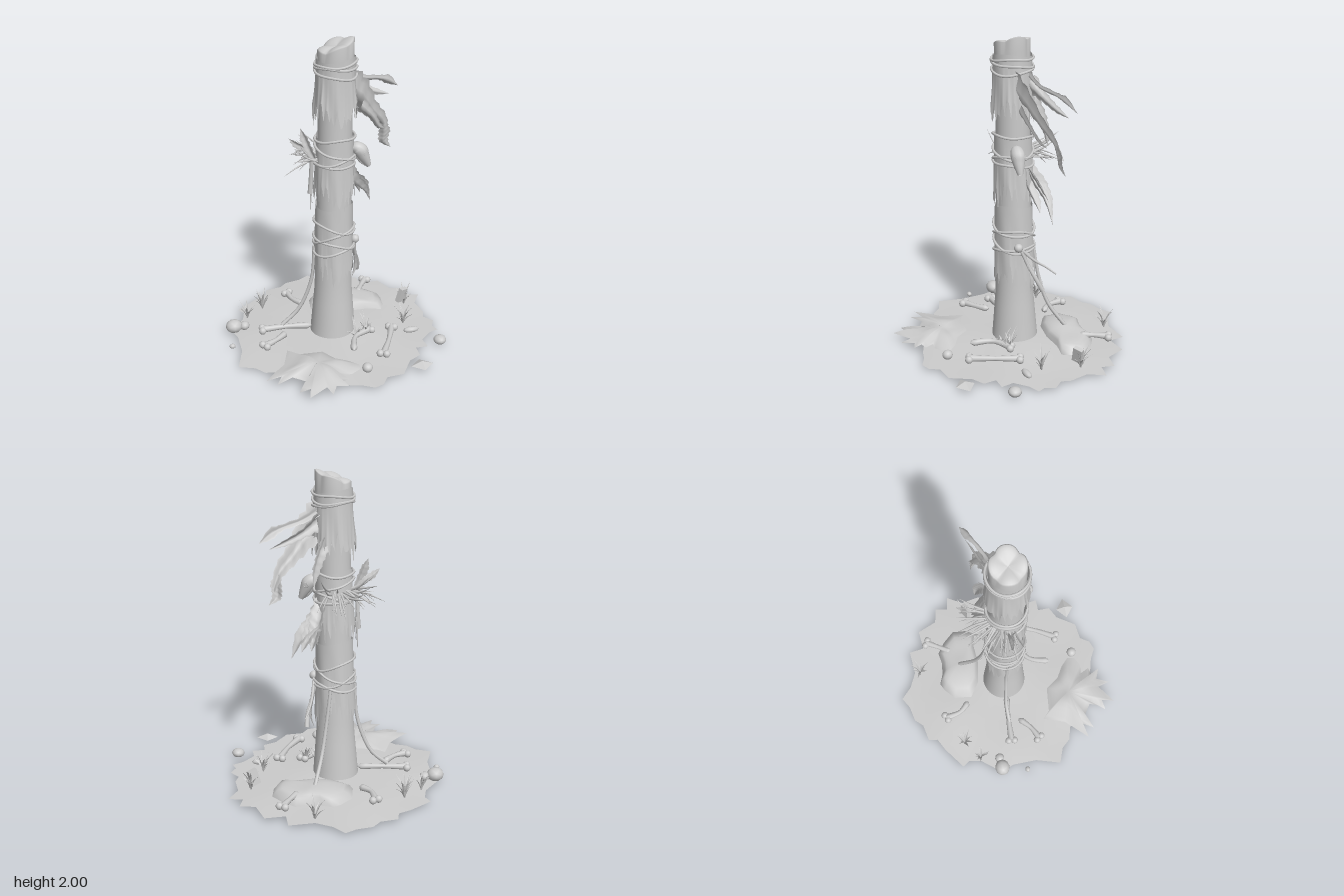
import * as THREE from 'three';
import { mergeVertices } from 'three/addons/utils/BufferGeometryUtils.js';

export function createModel() {
  const root = new THREE.Group();
  const grey = new THREE.MeshStandardMaterial({ color: 0xcccccc, side: THREE.DoubleSide });
  grey.name = 'weathered grey';
  const V = (x, y, z) => new THREE.Vector3(x, y, z);
  let seed = 7;
  const rnd = () => (seed = (seed * 16807) % 2147483647) / 2147483647;
  const lerp = THREE.MathUtils.lerp, TAU = Math.PI * 2;

  function add(name, geo) {
    const m = new THREE.Mesh(geo, grey);
    m.name = name;
    root.add(m);
    return m;
  }
  // surface from a rule f(i, j) giving a point
  function grid(name, nu, nv, f) {
    const pos = [], idx = [];
    for (let j = 0; j <= nv; j++) for (let i = 0; i <= nu; i++) pos.push(...f(i, j).toArray());
    for (let j = 0; j < nv; j++) for (let i = 0; i < nu; i++) {
      const a = j * (nu + 1) + i, b = a + 1, c = a + nu + 1, d = c + 1;
      idx.push(a, c, b, b, c, d);
    }
    let g = new THREE.BufferGeometry();
    g.setAttribute('position', new THREE.Float32BufferAttribute(pos, 3));
    g.setIndex(idx);
    g = mergeVertices(g, 1e-5);
    g.computeVertexNormals();
    return add(name, g);
  }
  // round limb along a curve, radius given by a rule
  function limb(name, pts, rad, sides = 7, n = 12) {
    const c = new THREE.CatmullRomCurve3(pts.map(p => V(...p)));
    const fr = c.computeFrenetFrames(n, false);
    return grid(name, sides, n, (i, j) => {
      const a = (i % sides) / sides * TAU, r = rad(j / n);
      return c.getPoint(j / n).addScaledVector(fr.normals[j], r * Math.cos(a)).addScaledVector(fr.binormals[j], r * Math.sin(a));
    });
  }
  // ragged strip: centre points, widths and a width direction
  function ribbon(name, pts, widths, dir) {
    const c = new THREE.CatmullRomCurve3(pts.map(p => V(...p))), n = 20, d = V(...dir).normalize();
    const nrm = V(...pts[pts.length - 1]).sub(V(...pts[0])).cross(d).normalize();
    return grid(name, 6, n, (i, j) => {
      const t = j / n, k = t * (widths.length - 1), q = Math.min(Math.floor(k), widths.length - 2);
      const w = lerp(widths[q], widths[q + 1], k - q) * (1 + (j % 3 - 1) * 0.12), s = i / 6 - 0.5;
      return c.getPoint(t).addScaledVector(d, w * s).addScaledVector(nrm, 0.15 * w * Math.cos(s * 7));
    });
  }
  // sheet spreading from a centre circle to an outline of x, z pairs
  function patch(name, o, cx, cz, hole, rings, height) {
    const n = o.length / 2;
    return grid(name, n, rings, (i, j) => {
      const k = (i % n) * 2, v = j / rings, dx = o[k] - cx, dz = o[k + 1] - cz, L = Math.hypot(dx, dz);
      const x = cx + lerp(hole * dx / L, dx, v), z = cz + lerp(hole * dz / L, dz, v);
      return V(x, height(v, x, z), z);
    });
  }

  // Ground, hide and flat rock
  const soil = (x, z) => 0.012 + 0.035 * Math.max(0, 1 - Math.hypot(x, z) / 0.7) + 0.005 * Math.sin(x * 9) * Math.cos(z * 8);
  patch('ground', [0, -.73, .07, -.66, .17, -.61, .33, -.62, .34, -.52, .47, -.53, .52, -.4, .62, -.38, .6, -.3, .69, -.28,
    .63, -.18, .65, -.06, .63, 0, .68, .06, .65, .12, .67, .17, .6, .2, .53, .27, .54, .35, .46, .35, .46, .43, .38, .47,
    .3, .59, .19, .6, .15, .66, .09, .68, .02, .64, -.05, .62, -.18, .56, -.32, .5, -.44, .38, -.52, .36, -.57, .3, -.67, .26,
    -.62, .1, -.62, -.06, -.65, -.15, -.55, -.27, -.53, -.35, -.56, -.4, -.42, -.5, -.34, -.54, -.33, -.6, -.22, -.62,
    -.17, -.67, -.07, -.69], 0, 0, 0.13, 8, (v, x, z) => soil(x, z));
  patch('groundHide', [-.35, .21, -.3, .26, -.14, .28, -.08, .37, 0, .42, .05, .47, .04, .52, -.02, .55, -.08, .54, -.05, .6,
    -.1, .61, -.07, .67, -.14, .64, -.18, .72, -.2, .64, -.32, .72, -.3, .64, -.37, .65, -.33, .6, -.31, .55, -.38, .5, -.48, .54,
    -.44, .47, -.54, .49, -.46, .41, -.4, .35], -.2, .42, 0, 7,
  (v, x, z) => 0.045 + 0.04 * (1 - v * v) + 0.012 * Math.sin(x * 28) * Math.cos(z * 24) * (1 - v * 0.6));
  patch('flatRock', [-.08, -.37, 0, -.43, .05, -.45, .12, -.42, .2, -.41, .28, -.42, .35, -.37, .42, -.29, .41, -.2, .38, -.14,
    .28, -.16, .15, -.15, 0, -.18, -.1, -.25], .16, -.28, 0, 8,
  (v, x) => 0.02 + 0.07 * Math.sqrt(1 - v ** 4) + 0.012 * Math.sin(x * 16) * (1 - v));

  // Trunk with a lobed, broken top
  const prof = [[0.02, .147], [.1, .14], [.35, .12], [.6, .112], [1, .106], [1.5, .104], [2, .108]];
  const trunkR = y => {
    let k = 0;
    while (k < prof.length - 2 && y > prof[k + 1][0]) k++;
    return lerp(prof[k][1], prof[k + 1][1], (y - prof[k][0]) / (prof[k + 1][0] - prof[k][0]));
  };
  const onTrunk = (a, y, off = 0) => {
    const r = trunkR(y) + off;
    return V(0.007 * y + r * Math.cos(a), y, 0.012 * y + r * Math.sin(a));
  };
  grid('trunk', 40, 30, (i, j) => {
    const a = (i % 40) / 40 * TAU, notch = Math.abs(Math.cos(2 * (a - 0.1)));
    const top = 1.945 + 0.035 * Math.cos(a) + 0.02 * notch;
    const p = onTrunk(a, lerp(0.02, top, Math.min(j / 24, 1)));
    const lobe = THREE.MathUtils.smoothstep(p.y, 1.82, 1.95) * 0.016 * (1 - notch) ** 2;
    const inn = j > 24 ? 1 - ((j - 24) / 6) ** 1.5 : 1;
    const s = inn * (1 - lobe / 0.1);
    const cx = 0.007 * p.y, cz = 0.012 * p.y;
    const dome = j > 24 ? 0.012 * Math.sin((j - 24) / 6 * Math.PI) : 0;
    return V(cx + (p.x - cx) * s, lerp(1.95, p.y, inn) + dome, cz + (p.z - cz) * s);
  });

  // Hide wraps with torn lower edges
  function wrap(name, top, bottom, tear, flare) {
    const N = 72, low = [];
    for (let i = 0; i < N; i++) low.push(bottom + tear * (i % 3 ? 0.35 + 0.65 * rnd() : 0.45 * rnd()) + 0.03 * Math.sin(i / N * TAU * 3));
    grid(name, N, 10, (i, j) => {
      const k = i % N, a = k / N * TAU, v = j / 10;
      const fold = 0.004 * Math.sin(a * 7 + v * 3) * v;
      return onTrunk(a, lerp(top + 0.012 * Math.sin(a * 2), low[k], v), 0.009 + flare * v * v + fold);
    });
  }
  wrap('upperWrap', 1.89, 1.47, 0.15, 0.02);
  wrap('middleWrap', 1.4, 0.95, 0.15, 0.012);
  wrap('lowerWrap', 0.95, 0.41, 0.15, 0.004);

  // Wind-blown flaps and strips
  ribbon('upperFlap', [[.08, 1.7, .03], [.17, 1.63, .0], [.26, 1.51, -.05], [.34, 1.42, -.09], [.38, 1.32, -.12]], [.26, .2, .12, .09, .05], [.35, .75, .45]);
  ribbon('flapTail', [[.35, 1.4, -.09], [.36, 1.33, -.11], [.36, 1.27, -.12], [.41, 1.22, -.13]], [.04, .08, .06, 0], [.8, .3, .3]);
  ribbon('flapTear', [[.16, 1.58, .04], [.24, 1.5, .02], [.3, 1.41, -.02], [.34, 1.39, -.04]], [.1, .06, .04, 0], [.4, .7, .4]);
  ribbon('upperStrip', [[.09, 1.78, -.04], [.2, 1.72, -.06], [.32, 1.69, -.11], [.39, 1.66, -.14], [.46, 1.61, -.17]], [.07, .04, .035, .07, 0], [.2, .8, .3]);
  ribbon('secondStrip', [[.1, 1.72, -.05], [.2, 1.65, -.09], [.31, 1.6, -.12], [.4, 1.57, -.15]], [.12, .06, .04, 0], [.2, .8, -.2]);
  ribbon('thirdStrip', [[.05, 1.62, -.08], [.1, 1.52, -.12], [.13, 1.42, -.14], [.14, 1.33, -.15]], [.1, .07, .05, 0], [.8, .1, -.4]);
  [[.28, .87, -.12], [.22, .92, -.15], [.25, .95, -.05], [.16, .93, -.16]].forEach(p =>
    ribbon('middleFlap', [[.08, 1.22, -.04], [.12, 1.1, p[2] * .7], [lerp(.12, p[0], .6), 1.01, p[2] * .9], p], [.1, .12, .09, 0], [.6, .3, .8]));

  // Rope bindings, tilted round the trunk
  [[1.86, .01, 0], [1.83, .014, 2], [1.8, .02, 4], [1.39, .015, 1], [1.3, .04, 3.4], [1.25, .03, 0.4], [1.22, .012, 2],
    [.8, .04, 3.2], [.74, .06, 0.6], [.69, .04, 3], [.65, .03, 0]].forEach(([y, tilt, ph], k) => {
    const pts = [];
    for (let i = 0; i < 24; i++) {
      const a = i / 24 * TAU;
      pts.push(onTrunk(a, y + tilt * Math.cos(a - ph) + 0.005 * Math.sin(3 * a + k), 0.018));
    }
    add('ropeRing', new THREE.TubeGeometry(new THREE.CatmullRomCurve3(pts, true), 48, 0.008, 6, true));
  });
  add('ropeKnot', new THREE.SphereGeometry(0.028, 12, 8)).position.set(.135, .695, .04);
  const taper = (a, b) => t => lerp(a, b, t);
  limb('ropeTail', [[.135, .69, .03], [.15, .57, -.02], [.18, .48, -.06], [.19, .4, -.1]], taper(.009, .016));
  limb('ropeTail', [[.135, .69, .03], [.15, .6, -.06], [.17, .55, -.13], [.2, .5, -.19]], taper(.01, .005));
  limb('ropeTail', [[-.12, .65, 0], [-.13, .45, -.01], [-.17, .3, -.02], [-.23, .18, -.03], [-.33, .09, -.03]], taper(.011, .013));
  limb('ropeTail', [[.04, .65, -.11], [.07, .42, -.14], [.1, .25, -.19], [.15, .09, -.29]], taper(.011, .013));
  ribbon('lowerTatter', [[.12, .66, -.02], [.15, .55, -.03], [.16, .46, -.04], [.14, .37, -.04]], [.03, .05, .04, 0], [.4, 0, 1]);

  // Animal skull tied to the side
  limb('skull', [[.11, 1.33, .05], [.15, 1.315, .055], [.18, 1.26, .06], [.21, 1.2, .065]],
    t => 0.006 + 0.042 * Math.sqrt(Math.max(0, Math.sin(Math.PI * Math.min(1, t * 0.85 + .08)))) * (t > .45 ? 1.25 - t * .75 : 0.92), 12, 16);
  limb('skullJaw', [[.14, 1.27, .05], [.165, 1.23, .055], [.19, 1.205, .06]], taper(.018, .007));
  for (const s of [-1, 1]) {
    const brow = add('skullBrow', new THREE.TorusGeometry(0.014, 0.005, 6, 12));
    brow.position.set(.18, 1.295, .056 + s * 0.033);
    brow.rotation.set(0, s > 0 ? 0.5 : -0.5, 0);
  }

  // Twigs and quills tucked under the middle rope
  for (let i = 0; i < 34; i++) {
    const a = Math.PI * (0.92 + 0.72 * i / 33), L = 0.09 + 0.12 * rnd(), up = (rnd() - 0.45) * 0.22, w = 0.006 + 0.005 * rnd();
    const p = onTrunk(a, 1.24 + 0.05 * rnd(), 0.005), d = V(Math.cos(a + rnd() * .5 - .25), 0, Math.sin(a + rnd() * .5 - .25));
    const q = p.clone().addScaledVector(d, L * .5), e = p.clone().addScaledVector(d, L);
    limb('quill', [p.toArray(), [q.x, q.y + up * .35, q.z], [e.x, e.y + up, e.z]], t => 0.001 + w * (1 - t) * (0.7 + t), 5, 6);
  }
  ribbon('feather', [[-.1, 1.22, .03], [-.15, 1.32, .03], [-.18, 1.4, .02], [-.2, 1.46, .01]], [.02, .05, .05, 0], [.8, .3, .4]);
  ribbon('feather', [[-.1, 1.24, 0], [-.17, 1.32, 0], [-.23, 1.36, 0], [-.27, 1.4, 0]], [.02, .04, .045, 0], [.3, .8, .4]);
  limb('hangingBone', [[-.13, 1.25, .0], [-.135, 1.1, -.01], [-.14, 1.02, -.01]], taper(.012, .016));
  limb('hangingTwig', [[-.125, 1.1, -.02], [-.13, 1.0, -.03], [-.135, .9, -.03]], taper(.009, .003));

  // Bones lying on the ground; the last value marks a knob at the far end
  [[.36, .14, .3, .28, .22, .42, 1], [-.48, .15, -.4, .11, -.32, .04, 0], [-.21, -.45, -.19, -.35, -.13, -.28, 0],
    [.36, -.49, .31, -.41, .26, -.33, 0], [-.46, -.04, -.3, -.03, -.14, -.01, 0], [.21, .13, .1, .2, .05, .34, 0]].forEach(([ax, az, bx, bz, cx, cz, both]) => {
    const h = 0.065, L = Math.hypot(cx - ax, cz - az), sx = -(cz - az) / L, sz = (cx - ax) / L;
    limb('boneShaft', [[ax, h, az], [bx, h + .004, bz], [cx, h, cz]], t => t === 1 && !both ? .004 : 0.015 + 0.016 * Math.abs(t - .5), 8);
    for (const [x, z] of both ? [[ax, az], [cx, cz]] : [[ax, az]]) for (const s of [-1, 1])
      add('boneKnob', new THREE.SphereGeometry(0.024, 10, 8)).position.set(x + sx * s * .02, h, z + sz * s * .02);
  });

  // Grass tufts
  [[.17, -.57, 9], [-.4, -.36, 14], [-.52, -.27, 8], [.55, -.18, 14], [.47, .05, 11], [.19, .13, 12], [.12, .14, 5]].forEach(([x, z, n]) => {
    for (let i = 0; i < n; i++) {
      const a = i / n * TAU + rnd(), L = 0.03 + 0.045 * rnd(), H = 0.06 + 0.1 * rnd(), c = Math.cos(a), s = Math.sin(a);
      ribbon('grassBlade', [[x, .02, z], [x + c * L * .4, .02 + H * .6, z + s * L * .4], [x + c * L, .02 + H, z + s * L]], [.012, .016, 0], [-s, 0, c]);
    }
  });

  // Loose stones: x, y, z and half sizes
  [[-.63, .055, -.14, .055, .045, .05, 1], [-.56, .045, -.145, .033, .03, .032, 1], [-.67, .016, .03, .02, .016, .017, 1], [.49, .035, .16, .053, .02, .023, 1],
    [.635, .03, .31, .042, .03, .042, 1], [.435, .025, .54, .066, .025, .055, 0], [.09, .045, .51, .033, .03, .033, 2]].forEach(([x, y, z, a, b, c, d]) => {
    const m = add('stone', new THREE.IcosahedronGeometry(1, d));
    if (!d) m.geometry = new THREE.OctahedronGeometry(1.1, 0);
    m.scale.set(a, b, c);
    m.position.set(x, y, z);
  });
  const slab = add('stoneSlab', new THREE.BoxGeometry(.06, .1, .03));
  slab.position.set(.53, .1, -.17);
  slab.rotation.set(.2, .5, -.3);
  return root;
}
